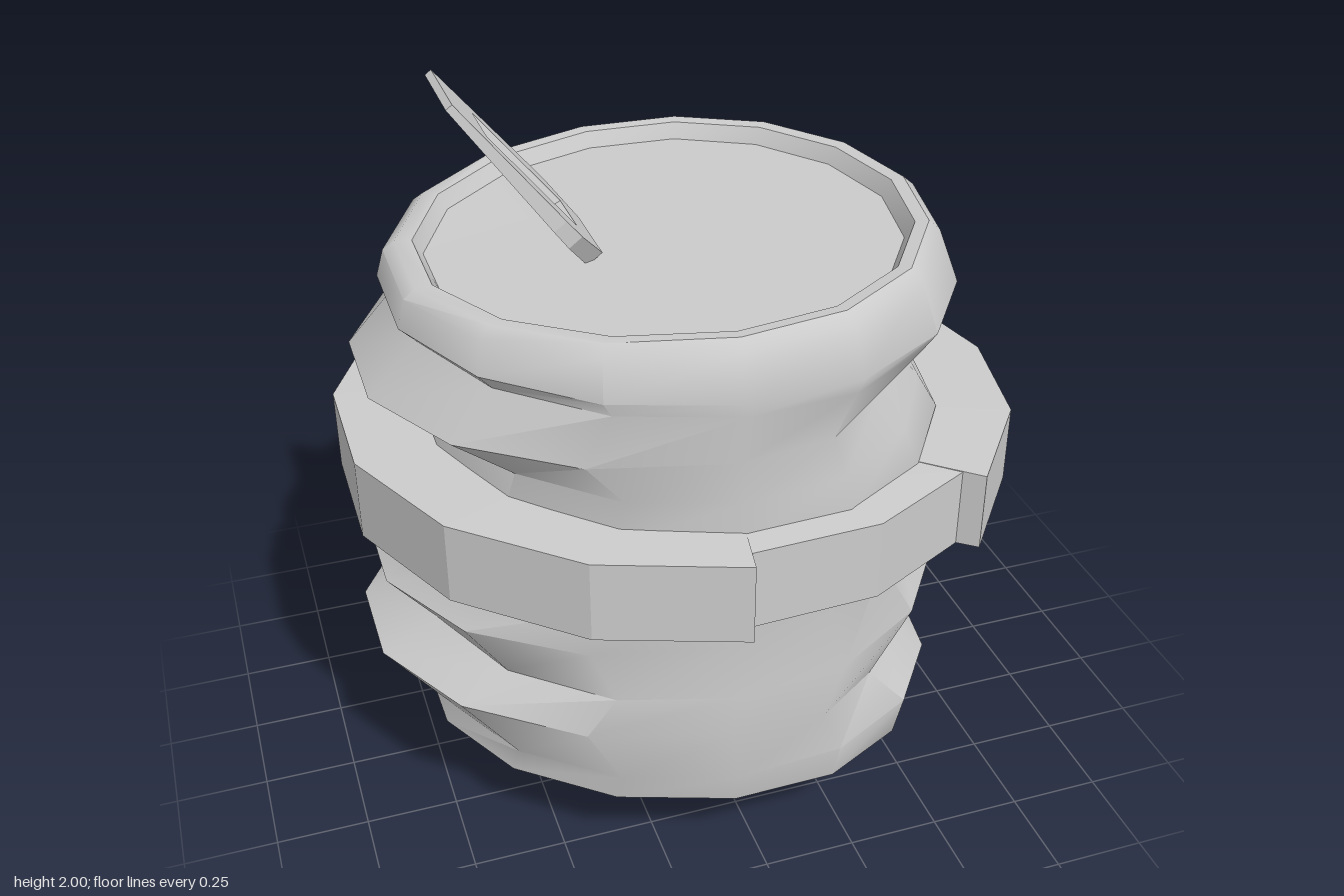
import * as THREE from 'three';
import { toCreasedNormals } from 'three/addons/utils/BufferGeometryUtils.js';

const SIDES = 15;
const STEP = (Math.PI * 2) / SIDES;
const grey = () => new THREE.MeshStandardMaterial({ color: 0xcccccc });

// Skins a list of closed rings of points and caps both ends at their centres.
function loft(rings, crease) {
  const cap = (ring) => {
    const c = ring.reduce((s, p) => s.add(p), new THREE.Vector3()).divideScalar(ring.length);
    return ring.map(() => c);
  };
  const all = [cap(rings[0]), ...rings, cap(rings[rings.length - 1])];
  const n = rings[0].length;
  const pos = [];
  const tri = (...pts) => {
    const area = new THREE.Triangle(...pts).getArea();
    if (area > 1e-9) pts.forEach((p) => pos.push(p.x, p.y, p.z));
  };
  for (let i = 0; i < all.length - 1; i++) {
    for (let j = 0; j < n; j++) {
      const k = (j + 1) % n;
      tri(all[i][j], all[i + 1][j], all[i][k]);
      tri(all[i][k], all[i + 1][j], all[i + 1][k]);
    }
  }
  const geo = new THREE.BufferGeometry();
  geo.setAttribute('position', new THREE.Float32BufferAttribute(pos, 3));
  geo.computeVertexNormals();
  return crease ? toCreasedNormals(geo, crease) : geo;
}

// Crumpled can: each row gives height and reach on the right-hand (-x) and
// left-hand (+x) sides, depth along z, forward tilt, and height blend power.
function createBody() {
  const rows = [
    [0.21, 0.64, 0.10, 0.58, 0.60, 0.13, 1],   // recessed base
    [0.18, 0.66, 0.06, 0.61, 0.63, 0.13, 1],
    [0.17, 0.70, 0.05, 0.65, 0.67, 0.13, 1],   // base rim
    [0.20, 0.74, 0.08, 0.69, 0.71, 0.12, 1],
    [0.26, 0.72, 0.21, 0.72, 0.73, 0.12, 1],
    [0.50, 0.895, 0.37, 0.55, 0.73, 0.04, 1],
    [0.59, 0.74, 0.60, 0.72, 0.73, 0, 1],
    [0.74, 0.865, 0.79, 0.57, 0.73, 0, 1],
    [0.87, 0.74, 0.90, 0.62, 0.73, 0, 1],
    [1.08, 0.72, 1.08, 0.69, 0.73, 0, 1],
    [1.19, 0.68, 1.19, 0.62, 0.73, 0, 1],
    [1.30, 0.86, 1.31, 0.50, 0.73, 0, 1],
    [1.44, 0.73, 1.41, 0.67, 0.73, 0, 1],
    [1.48, 0.77, 1.45, 0.72, 0.735, 0, 0.7],
    [1.55, 0.75, 1.60, 0.66, 0.70, 0, 0.7],
    [1.57, 0.72, 1.625, 0.63, 0.67, 0, 0.6],   // top rim
    [1.57, 0.675, 1.62, 0.595, 0.635, 0, 0.6],
    [1.53, 0.65, 1.575, 0.57, 0.615, 0, 0.6],  // recessed lid
  ];
  const rings = rows.map(([yR, xR, yL, xL, depth, tilt, power]) =>
    Array.from({ length: SIDES }, (_, j) => {
      const c = Math.cos(j * STEP);
      const z = Math.sin(j * STEP) * depth;
      const x = c > 0 ? c * xL : (c * xR) / 0.978;
      const y = THREE.MathUtils.lerp(yR, yL, ((1 + c) / 2) ** power) + z * tilt;
      return new THREE.Vector3(x, y, z);
    }));
  const body = new THREE.Mesh(loft(rings, 0.75), grey());
  body.name = 'crumpledBody';
  return body;
}

// One arc of the belt, between two side numbers.
function createBeltArc(name, from, to, scale) {
  const rings = [];
  for (let j = from; j <= to; j++) {
    const c = Math.cos(j * STEP), s = Math.sin(j * STEP);
    const point = (reach, depth, up) => {
      const x = c * reach;
      return new THREE.Vector3(x, 0.985 - 0.045 * x + up, s * depth);
    };
    const rx = (c > 0 ? 0.91 : 0.935) * scale;
    const rz = 0.86 * scale;
    rings.push([
      point(rx, rz, -0.11), point(0.5, 0.6, -0.11),
      point(0.5, 0.6, 0.122), point(rx, rz, 0.11),
    ]);
  }
  const arc = new THREE.Mesh(loft(rings), grey());
  arc.name = name;
  return arc;
}

function createBelt() {
  const belt = new THREE.Group();
  belt.name = 'belt';
  belt.add(
    createBeltArc('raisedLeftBand', -4, 2, 1),
    createBeltArc('recessedFrontBand', 2, 4, 0.935),
    createBeltArc('raisedRightBand', 4, 9, 1),
    createBeltArc('recessedBackBand', 9, 11, 0.935),
  );
  return belt;
}

// Raised pull tab with a funnel-shaped slot, thinner toward its tip.
function createTab() {
  const length = 0.567;
  const outline = [[-0.11, 0], [0.11, 0], [0.18, 0.11], [0.18, 0.17], [0.125, length],
    [-0.125, length], [-0.18, 0.17], [-0.18, 0.11]];
  const slot = [[-0.08, 0.09], [-0.08, 0.43], [0.08, 0.43], [0.08, 0.09]];
  const toPoints = (list) => list.map(([x, y]) => new THREE.Vector2(x, y));
  const shape = new THREE.Shape(toPoints(outline));
  shape.holes.push(new THREE.Path(toPoints(slot)));
  const geo = new THREE.ExtrudeGeometry(shape, { depth: 0.05, bevelEnabled: false });
  const p = geo.attributes.position;
  for (let i = 0; i < p.count; i++) {
    const x = p.getX(i), y = p.getY(i), z = p.getZ(i);
    if (Math.abs(x) < 0.1 && z < 0.01) {
      p.setX(i, x * 0.6);
      p.setY(i, 0.26 + (y - 0.26) * 0.85);
    }
    p.setZ(i, (z - 0.025) * (1 - 0.6 * (y / length)));
  }
  geo.computeVertexNormals();
  const along = new THREE.Vector3(-0.345, 0.45, 0).normalize();
  const normal = new THREE.Vector3(along.y, -along.x, 0);
  geo.applyMatrix4(new THREE.Matrix4().makeBasis(new THREE.Vector3(0, 0, -1), along, normal));
  const tab = new THREE.Mesh(geo, grey());
  tab.name = 'pullTab';
  tab.position.set(-0.25, 1.55, -0.035);
  return tab;
}

export function createModel() {
  const model = new THREE.Group();
  model.name = 'crushedCan';
  model.add(createBody(), createBelt(), createTab());
  return model;
}
